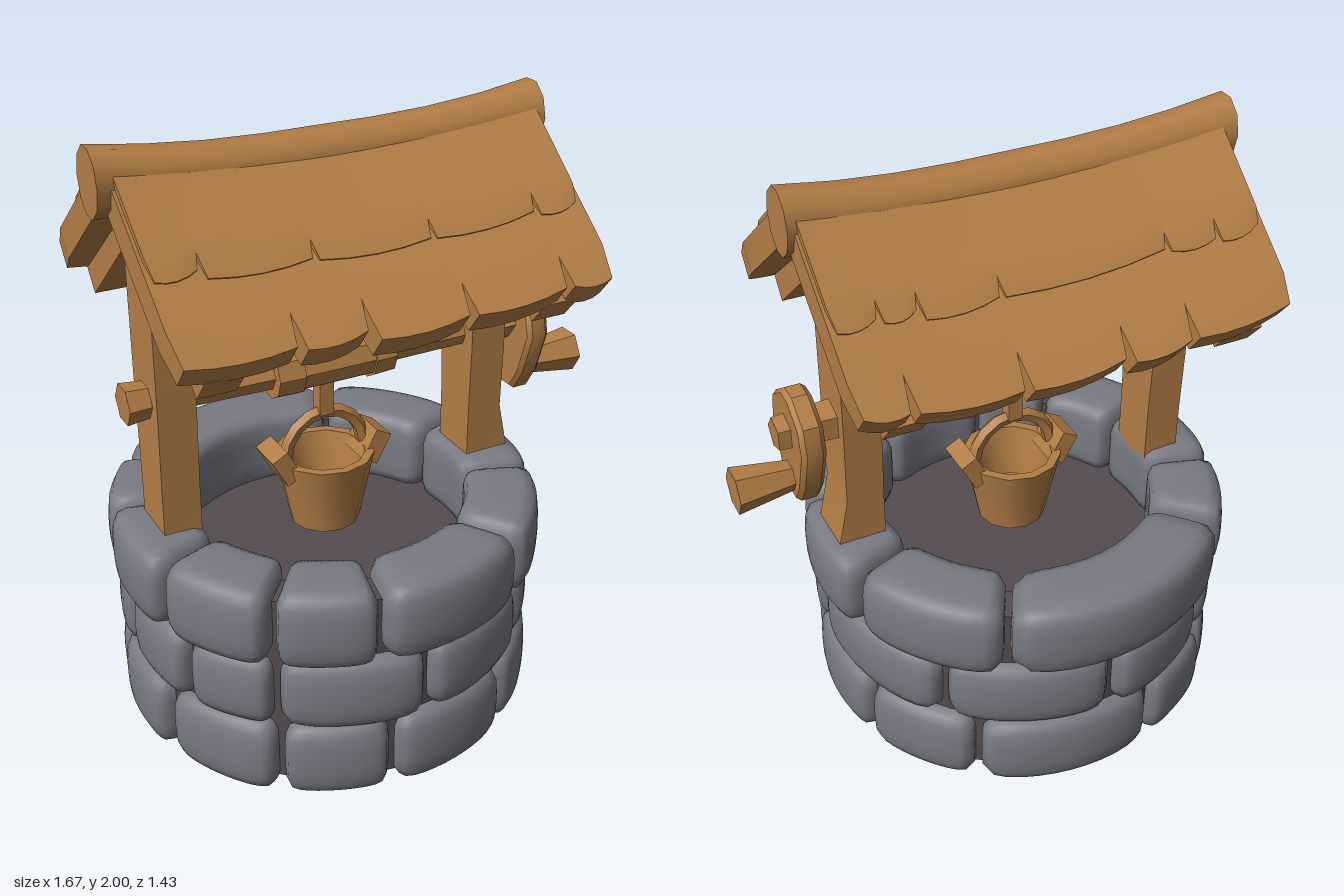
import * as THREE from 'three';
import { mergeVertices, toCreasedNormals } from 'three/addons/utils/BufferGeometryUtils.js';

const CX = -0.125; // centre line of the stone ring
const rad = THREE.MathUtils.degToRad;

export function createModel() {
  const model = new THREE.Group();
  model.name = 'wishingWell';
  const mat = (name, color) => Object.assign(new THREE.MeshStandardMaterial({ color }), { name });
  const stone = mat('stone', 0x7a7a84);
  const wood = mat('wood', 0xb37e46);
  const mortar = mat('mortar', 0x544c50);
  mortar.side = THREE.DoubleSide;

  let seed = 7;
  const rnd = () => ((seed = (seed * 16807) % 2147483647) / 2147483647) * 2 - 1;
  const add = (name, geo, material, parent = model) => {
    const m = new THREE.Mesh(geo, material);
    m.name = name;
    parent.add(m);
    return m;
  };
  const warp = (geo, fn) => {
    const p = geo.attributes.position, v = new THREE.Vector3();
    for (let i = 0; i < p.count; i++) {
      fn(v.fromBufferAttribute(p, i));
      p.setXYZ(i, v.x, v.y, v.z);
    }
    return geo;
  };
  const crease = (geo, angle = 0.6) => toCreasedNormals(geo, angle);
  // Tapered round bar lying along x
  const barX = (name, x0, x1, y, r0, r1, sides, parent) => {
    const g = new THREE.CylinderGeometry(r1, r0, x1 - x0, sides).rotateZ(-Math.PI / 2);
    return add(name, crease(g.translate((x0 + x1) / 2, y, 0)), wood, parent);
  };

  // Stone ring: rounded blocks bent around the centre
  const blocks = new THREE.Group();
  blocks.name = 'stoneRing';
  model.add(blocks);
  const bentStone = (a0, a1, y0, y1, rIn, rOut) => {
    let g = new THREE.BoxGeometry(2, 2, 2, 10, 6, 6);
    g.deleteAttribute('normal');
    g.deleteAttribute('uv');
    g = mergeVertices(g);
    const bulge = 0.006 * rnd(), lift = 0.006 * rnd(), tilt = 0.01 * rnd();
    warp(g, (v) => {
      const m = Math.max(Math.abs(v.x), Math.abs(v.y), Math.abs(v.z));
      const n = (Math.abs(v.x) ** 7 + Math.abs(v.y) ** 7 + Math.abs(v.z) ** 7) ** (1 / 7);
      v.multiplyScalar(m / n);
      const a = rad((a0 + a1) / 2 + (v.x * (a1 - a0 - 1.8)) / 2);
      const out = v.z > 0 ? (bulge + tilt * v.x) * v.z - 0.012 * v.y * v.y : 0;
      const r = (rIn + rOut) / 2 + (v.z * (rOut - rIn)) / 2 + out;
      const y = (y0 + y1) / 2 + (v.y * (y1 - y0)) / 2 + (v.y > 0 ? lift * v.x * v.y : 0);
      v.set(CX + Math.sin(a) * r, y, Math.cos(a) * r);
    });
    g.computeVertexNormals();
    return g;
  };
  const rows = [
    { name: 'bottomStone', y: [0, 0.265], r: 0.69, seams: [-39, -8, 32, 70, 109, 144, 198, 226, 253, 285] },
    { name: 'middleStone', y: [0.255, 0.505], r: 0.687, seams: [-40, 2, 43, 81, 134, 183, 223, 264, 294] },
    { name: 'topStone', y: [0.5, 0.762], r: 0.715, seams: [-40, -12, 34, 72, 108, 152, 227, 255, 288] },
  ];
  for (const { name, y, r, seams } of rows) {
    seams.forEach((a, i) => {
      const next = i + 1 < seams.length ? seams[i + 1] : seams[0] + 360;
      add(name, bentStone(a, next, y[0], y[1], 0.465, r), stone, blocks);
    });
  }

  // Mortar core between the blocks, and the dark well floor
  const core = [[0.467, 0.04], [0.635, 0.04], [0.635, 0.7], [0.52, 0.7], [0.52, 0.51], [0.467, 0.51], [0.467, 0.04]];
  add('mortarCore', crease(new THREE.LatheGeometry(core.map(([x, y]) => new THREE.Vector2(x, y)), 48)), mortar)
    .position.x = CX;
  add('wellFloor', new THREE.CircleGeometry(0.53, 36).rotateX(-Math.PI / 2), mortar).position.set(CX, 0.515, 0);

  // Posts, the right-hand one with a flared foot, and rafters on each of them
  const roof = new THREE.Group();
  roof.name = 'roof';
  model.add(roof);
  const sag = (x) => -0.045 * (1 - Math.min(1, ((x + 0.1) / 0.7) ** 2));
  for (const [x, flare] of [[-0.655, 0], [0.44, 0.05]]) {
    const g = new THREE.BoxGeometry(0.125, 1.18, 0.19, 1, 5, 1).translate(x, 1.27, 0);
    warp(g, (v) => {
      if (v.y < 0.8 && v.x > x) v.x += flare;
      v.z *= v.y < 1 ? 0.92 : 1;
    });
    add('post', crease(g), wood);
    for (const s of [1, -1]) {
      const r = new THREE.BoxGeometry(0.12, 0.1, 0.45).translate(0, -0.05, s * 0.225);
      add('rafter', r.rotateX(s * 0.7).translate(x, 1.75, s * 0.135), wood, roof);
    }
  }

  // Shingle planks: split at the given x values, nicked at the lower corners
  const shingles = (name, s, cuts, { start, angle, length, thick, nick }) => {
    for (let i = 0; i + 1 < cuts.length; i++) {
      const w = cuts[i + 1] - cuts[i], mid = (cuts[i] + cuts[i + 1]) / 2;
      const len = length + 0.012 * rnd(), skew = 0.012 * rnd();
      const g = new THREE.BoxGeometry(w, thick, len, 4, 1, 5).translate(0, -thick / 2, (s * len) / 2);
      warp(g, (v) => {
        const end = Math.abs(v.z) / len, u = (2 * v.x) / w;
        if (end > 0.99) {
          v.x -= u * nick;
          v.z += s * (skew * u - 0.015 * u * u);
          if (v.y > -0.01) v.y -= 0.012;
        }
      });
      g.rotateX(s * angle).translate(mid, start[1], s * start[0]);
      // The sag fades out towards the eaves
      warp(g, (v) => { v.y += sag(v.x) * (1 - 1.3 * Math.abs(v.z)); });
      add(name, crease(g, 0.5), wood, roof);
    }
  };
  const lower = { start: [0.06, 1.913], angle: 0.675, length: 0.618, thick: 0.1, nick: 0.014 };
  const upper = { start: [0.05, 1.95], angle: 0.69, length: 0.38, thick: 0.065, nick: 0.01 };
  shingles('lowerShingle', 1, [-0.8, -0.44, -0.22, 0.1, 0.44, 0.6], lower);
  shingles('lowerShingle', -1, [-0.8, -0.45, -0.23, 0.1, 0.44, 0.6], lower);
  shingles('upperShingle', 1, [-0.79, -0.64, -0.3, 0.08, 0.44, 0.59], upper);
  shingles('upperShingle', -1, [-0.79, -0.64, -0.47, 0.08, 0.33, 0.45, 0.59], upper);

  // Sagging ridge log
  const log = new THREE.CylinderGeometry(0.086, 0.086, 1.46, 10, 8).rotateZ(-Math.PI / 2).translate(-0.11, 0, 0);
  warp(log, (v) => {
    const e = Math.min(1, Math.abs(v.x + 0.11) / 0.73);
    v.y = v.y * (1 + 0.24 * e ** 4) + 1.895 + 0.9 * sag(v.x) + 0.012 * (1 - e);
  });
  add('ridgeLog', crease(log, 0.9), wood, roof);

  // Winch: axle, drum and crank
  const winch = new THREE.Group();
  winch.name = 'winch';
  model.add(winch);
  barX('axleEnd', -0.79, -0.71, 1.195, 0.066, 0.058, 6, winch);
  barX('leftAxle', -0.73, -0.28, 1.19, 0.045, 0.054, 6, winch);
  barX('rightAxle', 0.08, 0.6, 1.19, 0.054, 0.05, 8, winch);
  barX('axleTip', 0.5, 0.69, 1.19, 0.066, 0.055, 5, winch);
  barX('drum', -0.28, 0.075, 1.19, 0.08, 0.08, 9, winch);
  barX('drumRim', -0.31, -0.22, 1.19, 0.086, 0.088, 9, winch);
  barX('drumRim', 0.03, 0.105, 1.19, 0.088, 0.084, 9, winch);
  const crank = new THREE.Shape(
    [[-0.04, 0.95], [0.04, 0.95], [0.085, 1.02], [0.135, 1.17], [0.115, 1.26], [0.03, 1.32],
      [-0.03, 1.32], [-0.115, 1.26], [-0.135, 1.17], [-0.085, 1.02]].map(([x, y]) => new THREE.Vector2(x, y)));
  const plate = new THREE.ExtrudeGeometry(crank, {
    depth: 0.05, bevelEnabled: true, bevelThickness: 0.015, bevelSize: 0.012, bevelOffset: -0.006, bevelSegments: 1,
  });
  add('crankPlate', crease(plate.rotateY(Math.PI / 2).translate(0.585, 0, 0)), wood, winch);
  barX('crankHandle', 0.62, 0.835, 1.02, 0.045, 0.076, 6, winch);

  // Rope and bucket
  const bucket = new THREE.Group();
  bucket.name = 'bucket';
  bucket.position.set(-0.12, 0, 0);
  model.add(bucket);
  add('rope', new THREE.BoxGeometry(0.05, 0.13, 0.05).translate(0, 1.07, 0), wood, bucket);
  const pail = [[0, 0.62], [0.115, 0.62], [0.165, 0.865], [0.135, 0.865], [0.105, 0.69], [0, 0.69]];
  add('pail', crease(new THREE.LatheGeometry(pail.map(([x, y]) => new THREE.Vector2(x, y)), 12)), wood, bucket);
  add('pailHandle', crease(new THREE.TorusGeometry(0.14, 0.023, 5, 8, Math.PI).translate(0, 0.87, 0)), wood, bucket);
  for (const s of [1, -1]) {
    const ear = new THREE.BoxGeometry(0.06, 0.11, 0.13).rotateZ(-s * 0.5).translate(s * 0.162, 0.865, 0);
    add('pailEar', ear, wood, bucket);
  }
  return model;
}
